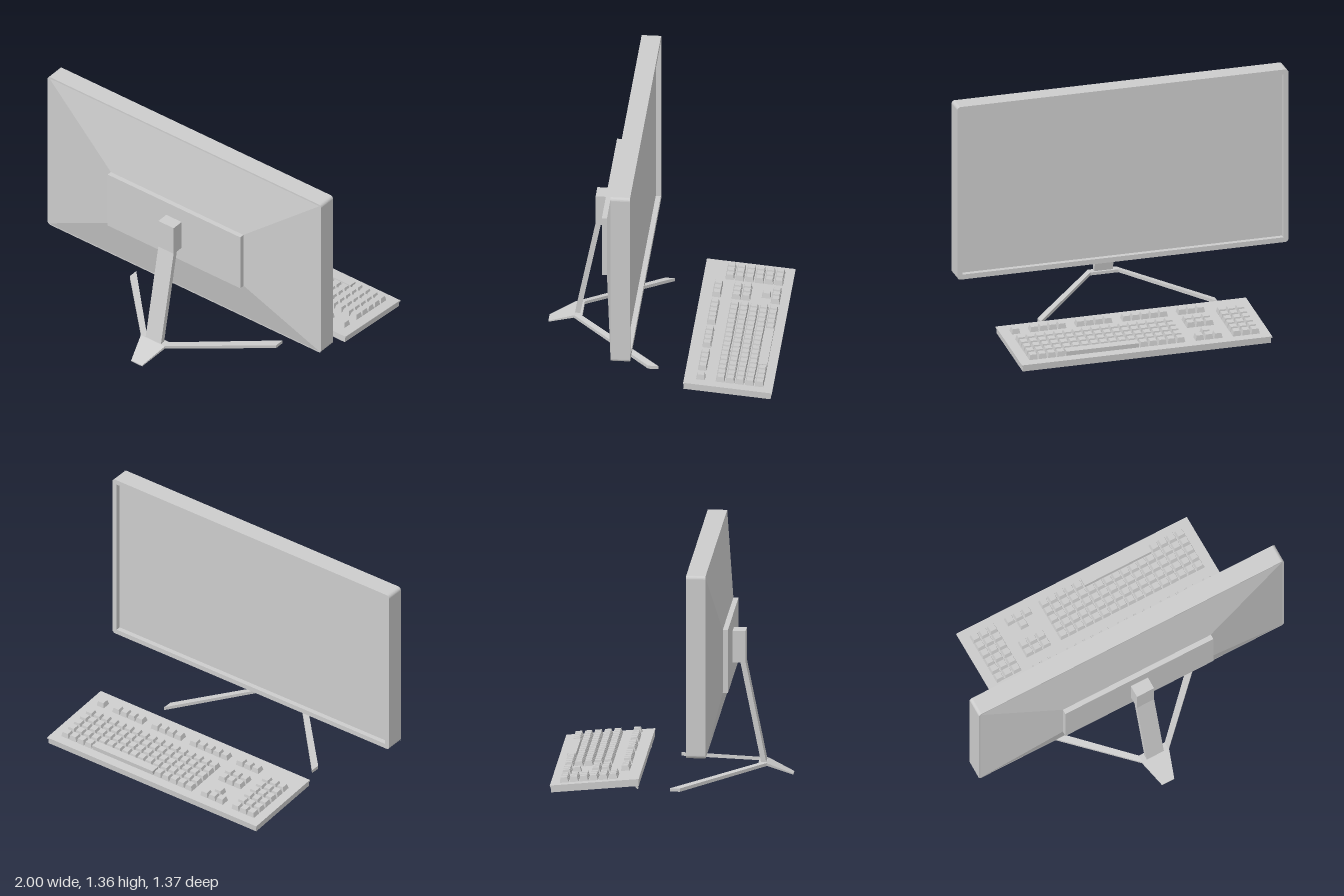
import * as THREE from 'three';
import { ConvexGeometry } from 'three/addons/geometries/ConvexGeometry.js';

const grey = new THREE.MeshStandardMaterial({ color: 0xcccccc, flatShading: true });

function add(parent, name, geometry, x = 0, y = 0, z = 0) {
  const mesh = new THREE.Mesh(geometry, grey);
  mesh.name = name;
  mesh.position.set(x, y, z);
  parent.add(mesh);
  return mesh;
}

// Solid spanned by a handful of corner points
const solid = (points) => new ConvexGeometry(points.map((p) => new THREE.Vector3(...p)));

// Four corners of an upright rectangle facing z
const rectZ = (hw, y0, y1, z) => [[-hw, y0, z], [hw, y0, z], [hw, y1, z], [-hw, y1, z]];

// Four corners of a level rectangle
const rectY = (hw, hd, y) => [[-hw, y, -hd], [hw, y, -hd], [hw, y, hd], [-hw, y, hd]];

function roundedRect(target, hw, hh, r) {
  target.absarc(hw - r, hh - r, r, 0, Math.PI / 2);
  target.absarc(r - hw, hh - r, r, Math.PI / 2, Math.PI);
  target.absarc(r - hw, r - hh, r, Math.PI, Math.PI * 1.5);
  target.absarc(hw - r, r - hh, r, Math.PI * 1.5, Math.PI * 2);
  target.closePath();
  return target;
}

function createMonitor() {
  const monitor = new THREE.Group();
  monitor.name = 'monitor';
  const y0 = 0.287, y1 = 1.36, mid = (y0 + y1) / 2, hh = (y1 - y0) / 2;

  // Bezel frame with a sunken screen
  const frame = roundedRect(new THREE.Shape(), 1, hh, 0.02);
  const hole = new THREE.Path();
  hole.moveTo(-0.97, -hh + 0.03);
  hole.lineTo(-0.97, hh - 0.03);
  hole.lineTo(0.97, hh - 0.03);
  hole.lineTo(0.97, -hh + 0.03);
  hole.closePath();
  frame.holes.push(hole);
  const extrude = { depth: 0.113, bevelEnabled: false, curveSegments: 4 };
  add(monitor, 'bezel', new THREE.ExtrudeGeometry(frame, extrude), 0, mid, 0.125);
  add(monitor, 'screen', new THREE.BoxGeometry(1.96, 2 * hh - 0.04, 0.08), 0, mid, 0.195);

  // Tapered housing, plate and mount
  add(monitor, 'housing', solid([...rectZ(0.996, y0 + 0.004, y1 - 0.004, 0.237), ...rectZ(0.485, 0.577, 0.945, 0.305)]));
  add(monitor, 'mountPlate', new THREE.BoxGeometry(0.97, 0.37, 0.032), 0, 0.76, 0.319);
  add(monitor, 'mountBlock', new THREE.BoxGeometry(0.112, 0.187, 0.08), 0, 0.7615, 0.37);
  return monitor;
}

function createStand() {
  const stand = new THREE.Group();
  stand.name = 'stand';

  // Leaning arm
  const armEnd = (y, z0, z1) => [[-0.056, y, z0], [0.056, y, z0], [0.056, y, z1], [-0.056, y, z1]];
  add(stand, 'arm', solid([...armEnd(0.67, 0.38, 0.41), ...armEnd(0.08, 0.5, 0.53)]));

  // Hub, splayed legs and front foot
  add(stand, 'hub', new THREE.BoxGeometry(0.17, 0.018, 0.048), 0, 0.077, 0.509);
  for (const side of [1, -1]) {
    const section = (x, y0, y1, z0, z1) =>
      [[x * side, y0, z0], [x * side, y1, z0], [x * side, y1, z1], [x * side, y0, z1]];
    add(stand, side > 0 ? 'leftLeg' : 'rightLeg',
      solid([...section(0.085, 0.068, 0.086, 0.485, 0.533), ...section(0.535, 0, 0.02, 0.003, 0.062)]));
  }
  add(stand, 'frontFoot', solid([...rectZ(0.088, 0.07, 0.086, 0.533), ...rectZ(0.04, 0.01, 0.017, 0.685)]));
  return stand;
}

function createKeyboard() {
  const keyboard = new THREE.Group();
  keyboard.name = 'keyboard';
  const lip = 0.009, pitch = 0.0557;

  // Case with an overhanging top plate; local y = 0 is the top surface
  add(keyboard, 'topPlate', new THREE.BoxGeometry(1.512, lip, 0.516), 0, -lip / 2, 0);
  add(keyboard, 'case', new THREE.BoxGeometry(1.5, 0.033, 0.508), 0, -lip - 0.0165, 0);

  // Key blocks: [left edge x, columns, rows]
  const key = solid([...rectY(0.0255, 0.0255, 0), ...rectY(0.019, 0.019, 0.03)]);
  const main = -0.25, arrows = -0.475;
  const blocks = [
    [-0.7, 3, [0, 1, 2, 3, 4, 5]],
    [arrows, 3, [0, 3, 4, 6]],
    [arrows + pitch, 1, [1]],
    [main, 17, [1, 2, 3, 4]],
    [main, 5, [0, 6]],
    [main + 13 * pitch, 4, [0]],
    [main + 6 * pitch, 4, [6]],
    [main + 11 * pitch, 4, [6]],
    [main + 16 * pitch, 1, [6]],
  ];
  const rowZ = (row) => -0.178 + row * 0.0568;
  for (const [x, columns, rows] of blocks)
    for (const row of rows)
      for (let c = 0; c < columns; c++)
        add(keyboard, 'key', key, x + (c + 0.5) * pitch, 0, rowZ(row));
  add(keyboard, 'spaceBar', new THREE.BoxGeometry(8 * pitch - 0.008, 0.027, 0.05),
    main + 9 * pitch, 0.0135, rowZ(0));

  // Folding feet under the raised edge
  for (const x of [-0.613, 0.612]) {
    const foot = add(keyboard, 'foot', new THREE.BoxGeometry(0.054, 0.058, 0.005), x, -0.057, 0.222);
    foot.rotation.x = -0.62;
  }

  keyboard.position.set(0.105, 0.0725, -0.4275);
  keyboard.rotation.x = -0.087;
  return keyboard;
}

export function createModel() {
  const model = new THREE.Group();
  model.name = 'desktopSet';
  model.add(createMonitor(), createStand(), createKeyboard());
  return model;
}
